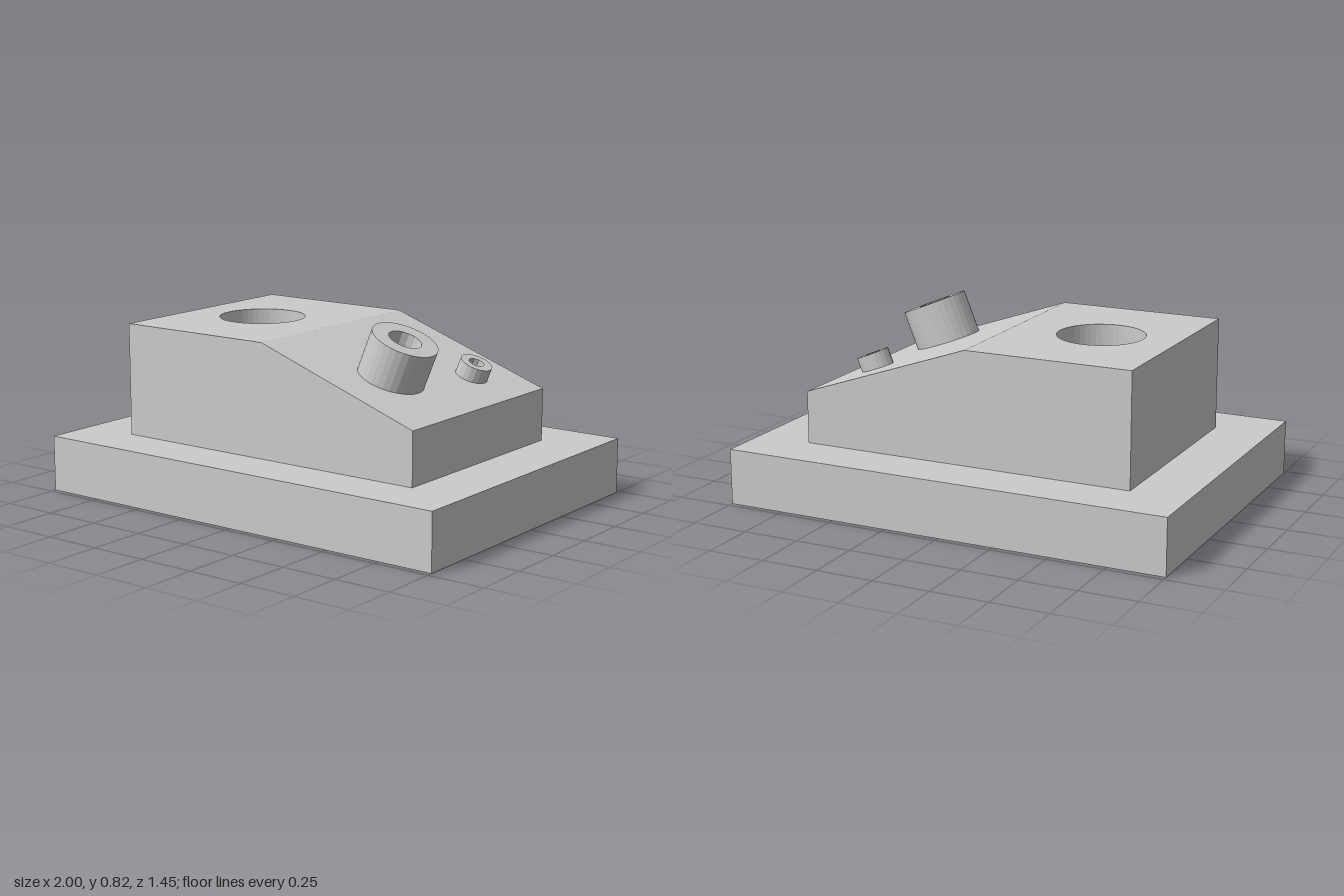
import * as THREE from 'three';

const BASE_H = 0.245, TOP = 0.74, RIDGE = -0.01;
const HALF_X = 0.75, HALF_Z = 0.495;
const TILT = THREE.MathUtils.degToRad(22.5);
const material = new THREE.MeshStandardMaterial({ color: 0xcccccc, flatShading: true });

// Regular polygon outline standing in for a circle
function circle(radius, sides, cx = 0) {
  return Array.from({ length: sides }, (_, i) => {
    const a = (i / sides) * Math.PI * 2;
    return new THREE.Vector2(cx + radius * Math.cos(a), radius * Math.sin(a));
  });
}

function rectangle(x0, x1, z) {
  return [[x0, -z], [x1, -z], [x1, z], [x0, z]].map((p) => new THREE.Vector2(...p));
}

// Upright prism with one hole, rising from y = 0
function pierced(outline, hole, height) {
  const shape = new THREE.Shape(outline);
  shape.holes.push(new THREE.Path(hole));
  return new THREE.ExtrudeGeometry(shape, { depth: height, bevelEnabled: false }).rotateX(-Math.PI / 2);
}

export function createModel() {
  const group = new THREE.Group();
  const add = (name, geometry, x = 0, y = 0, z = 0) => {
    const mesh = new THREE.Mesh(geometry, material);
    mesh.name = name;
    mesh.position.set(x, y, z);
    group.add(mesh);
    return mesh;
  };

  // Plate and flat-topped block share one vertical through hole
  const bore = circle(0.19, 48, -0.405);
  add('basePlate', pierced(rectangle(-1, 1, 0.725), bore, BASE_H));
  add('flatBlock', pierced(rectangle(-HALF_X, RIDGE, HALF_Z), bore, TOP - BASE_H), 0, BASE_H);

  // Sloping end of the block
  const wedge = new THREE.Shape([
    [RIDGE, BASE_H], [HALF_X, BASE_H], [HALF_X, 0.475], [RIDGE, TOP],
  ].map((p) => new THREE.Vector2(...p)));
  add('slopedBlock', new THREE.ExtrudeGeometry(wedge, { depth: 2 * HALF_Z, bevelEnabled: false }), 0, 0, -HALF_Z);

  // Tilted hollow bosses, placed by the centre of their top face and sunk into the slope
  const boss = (name, outer, inner, sides, length, x, y, z) => {
    const geometry = pierced(circle(outer, sides), circle(inner, sides / 2), length);
    geometry.translate(0, -length, 0);
    add(name, geometry, x, y, z).rotation.z = -TILT;
  };
  boss('largeBoss', 0.144, 0.072, 32, 0.22, 0.488, 0.76, 0.173);
  boss('smallBoss', 0.071, 0.035, 20, 0.11, 0.57, 0.608, -0.243);

  return group;
}
